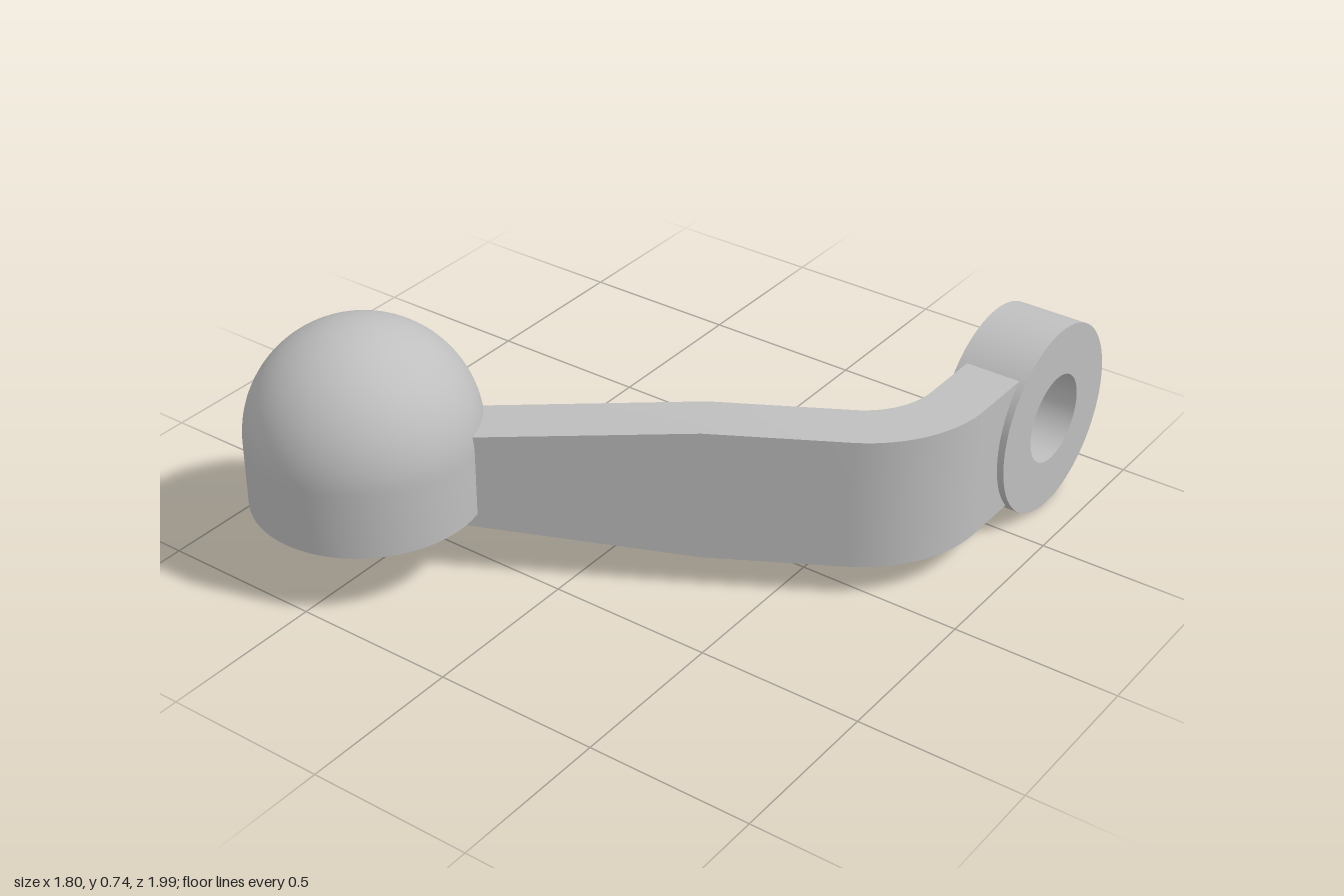
import * as THREE from 'three';
import { toCreasedNormals } from 'three/addons/utils/BufferGeometryUtils.js';

const KNOB = { x: -0.56, z: 0.655, r: 0.34 };
const RING = { x: 0.788, y: 0.295, z: -0.705, outer: 0.293, inner: 0.137, half: 0.108 };

// Sweep a rectangle along stations { x, z, angle, low, high }
function sweepArm(stations, half) {
  const pos = [], index = [];
  for (const s of stations) {
    const nx = Math.cos(s.angle) * half, nz = Math.sin(s.angle) * half;
    pos.push(s.x + nx, s.low, s.z + nz, s.x + nx, s.high, s.z + nz);
    pos.push(s.x - nx, s.high, s.z - nz, s.x - nx, s.low, s.z - nz);
  }
  const last = (stations.length - 1) * 4;
  for (let i = 0; i < last; i += 4) {
    for (let k = 0; k < 4; k++) {
      const n = (k + 1) % 4;
      index.push(i + k, i + n, i + 4 + n, i + k, i + 4 + n, i + 4 + k);
    }
  }
  index.push(0, 3, 2, 0, 2, 1, last, last + 1, last + 2, last, last + 2, last + 3);
  const g = new THREE.BufferGeometry();
  g.setAttribute('position', new THREE.Float32BufferAttribute(pos, 3));
  g.setIndex(index);
  return toCreasedNormals(g, 0.12);
}

export function createModel() {
  const group = new THREE.Group();
  const grey = new THREE.MeshStandardMaterial({ color: 0xbfbfbf });
  grey.name = 'plain grey';
  const add = (name, geometry) => {
    const mesh = new THREE.Mesh(geometry, grey);
    mesh.name = name;
    group.add(mesh);
    return mesh;
  };

  // Domed knob with a flat base
  const profile = [new THREE.Vector2(0, 0.2), new THREE.Vector2(KNOB.r, 0.2)];
  for (let i = 0; i <= 24; i++) {
    const a = (i / 24) * Math.PI / 2;
    profile.push(new THREE.Vector2(i === 24 ? 0 : KNOB.r * Math.cos(a), 0.4 + KNOB.r * Math.sin(a)));
  }
  const knob = add('knob', toCreasedNormals(new THREE.LatheGeometry(profile, 72), 0.6));
  knob.position.set(KNOB.x, 0, KNOB.z);

  // Pivot ring with its axis along x
  const { outer, inner, half } = RING;
  const section = [[outer, -half], [outer, half], [inner, half], [inner, -half], [outer, -half]]
    .map(([r, h]) => new THREE.Vector2(r, h));
  const ring = add('pivotRing', toCreasedNormals(new THREE.LatheGeometry(section, 72), 0.6));
  ring.rotation.z = Math.PI / 2;
  ring.position.set(RING.x, RING.y, RING.z);

  // Bent arm: straight root, 60 degree bend, then a taper into the knob
  const low = 0.1, high = 0.51, bend = 0.325, cx = 0.465, cz = -0.31;
  const stations = [{ x: 0.79, z: -0.52, angle: 0, low, high }];
  for (let i = 0; i <= 20; i++) {
    const angle = (i / 20) * Math.PI / 3;
    stations.push({ x: cx + bend * Math.cos(angle), z: cz + bend * Math.sin(angle), angle, low, high });
  }
  stations.push({ x: 0.27, z: 0.176, angle: Math.PI / 3, low, high });
  stations.push({ x: KNOB.x, z: KNOB.z, angle: Math.PI / 3, low: 0.185, high: 0.425 });
  add('arm', sweepArm(stations, 0.085));

  return group;
}
